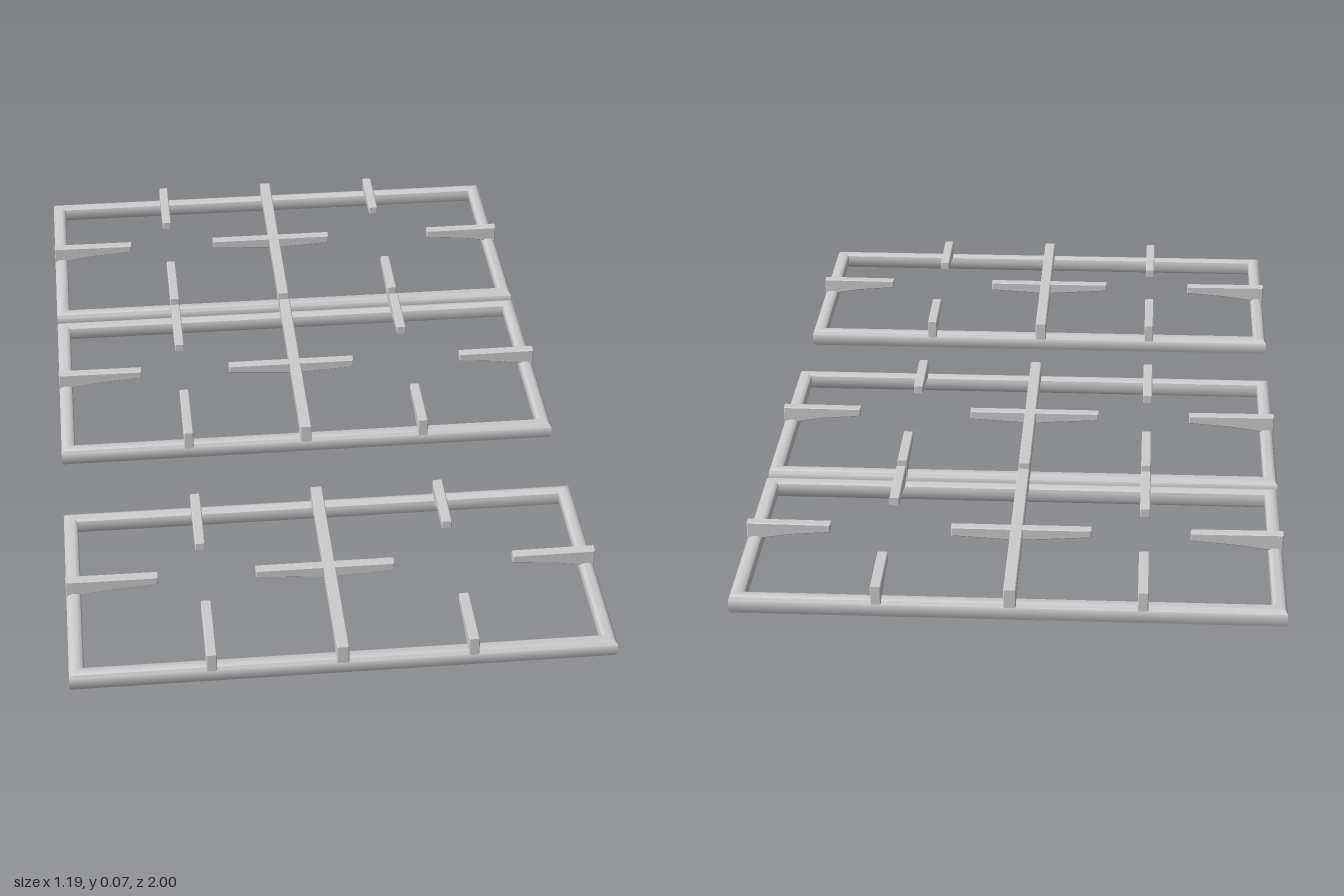
import * as THREE from 'three';
import { toCreasedNormals } from 'three/addons/utils/BufferGeometryUtils.js';

const metal = new THREE.MeshStandardMaterial({ color: 0xcccccc });
const HALF_X = 0.597, TOP = 0.074;

function addMesh(parent, name, geometry) {
  const mesh = new THREE.Mesh(toCreasedNormals(geometry, 0.7), metal);
  mesh.name = name;
  parent.add(mesh);
  return mesh;
}

// Rectangular rail with mitred corners: a rounded section carried round four corners
function frameGeometry(halfX, halfZ) {
  const section = [ // [inset from the outer edge, height]
    [0.003, 0.001], [0, 0.006], [0, 0.031], [0.005, 0.038], [0.013, 0.041],
    [0.024, 0.041], [0.031, 0.036], [0.033, 0.028], [0.031, 0.008], [0.025, 0.001],
  ];
  const corners = [[1, 1], [1, -1], [-1, -1], [-1, 1]];
  const positions = [], index = [], n = section.length;
  for (const [sx, sz] of corners)
    for (const [inset, y] of section)
      positions.push(sx * (halfX - inset), y, sz * (halfZ - inset));
  for (let c = 0; c < 4; c++) {
    for (let i = 0; i < n; i++) {
      const j = (i + 1) % n, d = ((c + 1) % 4) * n;
      const a = c * n + i, b = c * n + j;
      index.push(a, d + i, b, b, d + i, d + j);
    }
  }
  const geometry = new THREE.BufferGeometry();
  geometry.setAttribute('position', new THREE.Float32BufferAttribute(positions, 3));
  geometry.setIndex(index);
  return geometry;
}

// Bar along +x from a side outline, centred on its thickness
function barGeometry(outline, width) {
  const bevel = 0.002;
  const shape = new THREE.Shape(outline.map(([x, y]) => new THREE.Vector2(x, y)));
  const geometry = new THREE.ExtrudeGeometry(shape, {
    depth: width - 2 * bevel, bevelEnabled: true, bevelThickness: bevel,
    bevelSize: bevel, bevelOffset: -bevel, bevelSegments: 1,
  });
  return geometry.translate(0, 0, bevel - width / 2);
}

// Pan support: rises from the rail and thins towards its free tip
function fingerGeometry(length) {
  return barGeometry([
    [0, 0.03], [0.033, 0.036], [length * 0.5, 0.046], [length, 0.054],
    [length, TOP - 0.001], [0, TOP],
  ], 0.023);
}

function createGrate(halfZ) {
  const grate = new THREE.Group();
  addMesh(grate, 'frame', frameGeometry(HALF_X, halfZ));

  // Supports along x, from the two short rails
  addMesh(grate, 'rightFinger', fingerGeometry(0.205)).position.x = -HALF_X;
  const left = addMesh(grate, 'leftFinger', fingerGeometry(0.187));
  left.position.x = HALF_X;
  left.rotation.y = Math.PI;

  // Supports along z, from the front and back rails
  for (const [x, length, side] of [[-0.29, 0.188, 'right'], [0.28, 0.16, 'left']]) {
    for (const end of [1, -1]) {
      const finger = addMesh(grate, side + (end > 0 ? 'FrontFinger' : 'BackFinger'), fingerGeometry(length));
      finger.position.set(x, 0, end * halfZ);
      finger.rotation.y = end * Math.PI / 2;
    }
  }

  // Full-depth centre bar resting on the rails, with a short tapered cross bar
  const bar = addMesh(grate, 'centreBar', barGeometry([
    [-halfZ, 0.03], [-halfZ + 0.035, 0.035], [-halfZ + 0.08, 0.045],
    [halfZ - 0.08, 0.045], [halfZ - 0.035, 0.035], [halfZ, 0.03],
    [halfZ, TOP], [-halfZ, TOP],
  ], 0.027));
  bar.position.x = -0.006;
  bar.rotation.y = Math.PI / 2;
  addMesh(grate, 'crossBar', barGeometry([
    [-0.172, 0.056], [-0.02, 0.046], [0.01, 0.046], [0.14, 0.053],
    [0.14, TOP], [-0.172, TOP],
  ], 0.023));
  return grate;
}

export function createModel() {
  const model = new THREE.Group();
  model.name = 'cooktopGrates';
  // Two grates side by side at the back, one set apart at the front
  for (const [name, back, front] of [
    ['backGrate', -1, -0.425], ['middleGrate', -0.397, 0.179], ['frontGrate', 0.421, 1],
  ]) {
    const grate = createGrate((front - back) / 2);
    grate.name = name;
    grate.position.z = (front + back) / 2;
    model.add(grate);
  }
  return model;
}
